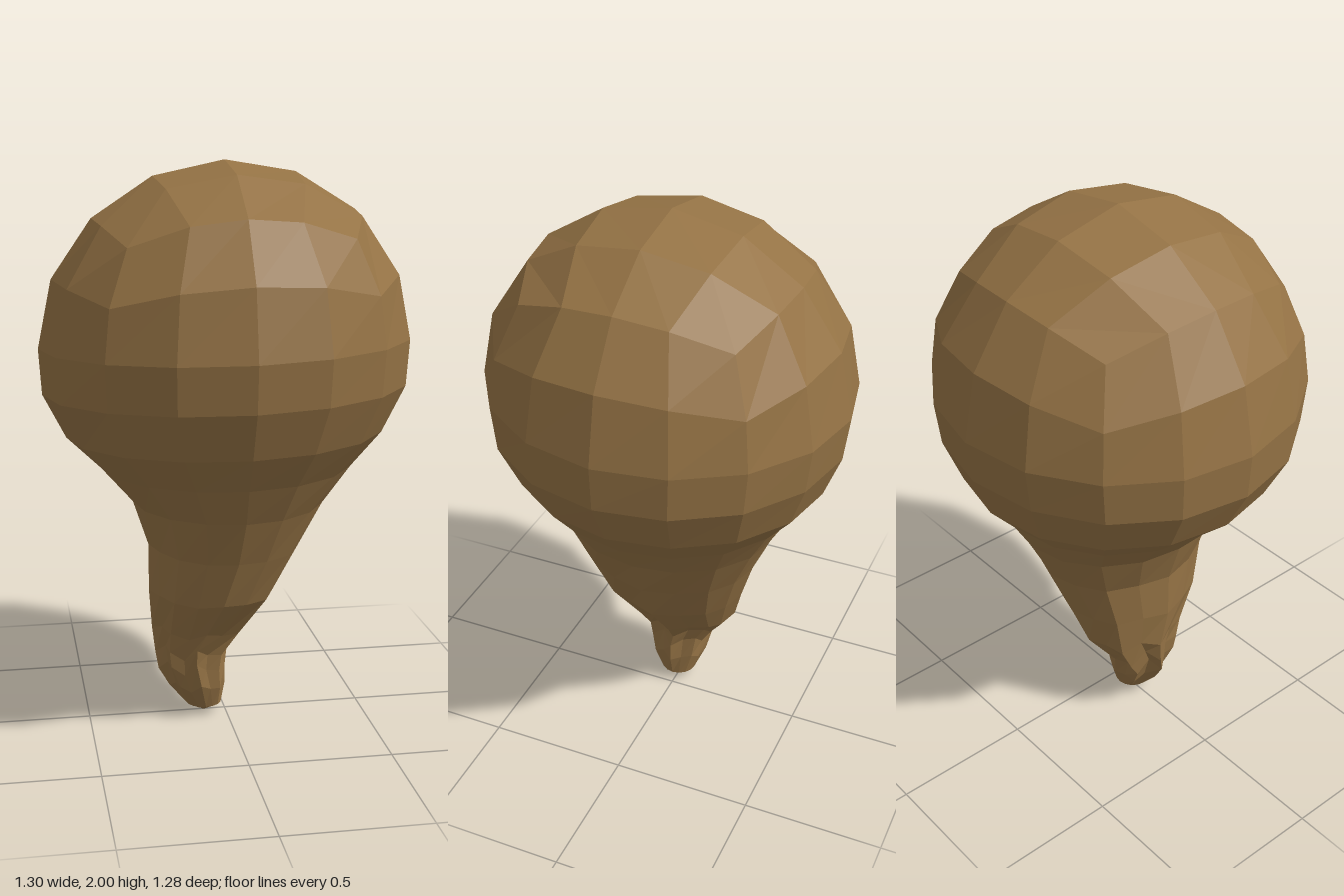
import * as THREE from 'three';

// Cross-sections below the widest line: y, xMin, xMax, zMin, zMax, pleat depth
const SECTIONS = [
  [1.22, -0.64, 0.64, -0.62, 0.62, 0],
  [1.06, -0.56, 0.56, -0.56, 0.55, 0],
  [0.94, -0.44, 0.45, -0.46, 0.46, 0],
  [0.81, -0.33, 0.35, -0.385, 0.385, 0],
  [0.65, -0.277, 0.27, -0.315, 0.32, 0.01],
  [0.48, -0.277, 0.185, -0.26, 0.265, 0.02],
  [0.34, -0.265, 0.08, -0.22, 0.18, 0.05],
  [0.26, -0.255, 0.01, -0.165, 0.15, 0.09],
  [0.20, -0.245, 0.0, -0.12, 0.135, 0.09],
  [0.12, -0.205, 0.0, -0.1, 0.115, 0.05],
  [0.035, -0.145, -0.015, -0.06, 0.07, 0],
];
const TOP_ROWS = 2;
const ROWS = TOP_ROWS + SECTIONS.length;
const CENTRE_Y = 1.38;

// Four-by-four grid box wrapped into a rounded bulb with a tapering neck
function bulbGeometry() {
  const geo = new THREE.BoxGeometry(2, 2, 2, 4, ROWS, 4);
  const pos = geo.attributes.position;
  const p = new THREE.Vector3();
  const spread = (v) => Math.tan(v * Math.PI / 4);

  for (let i = 0; i < pos.count; i++) {
    p.fromBufferAttribute(pos, i);
    const row = Math.round((1 - p.y) / 2 * ROWS);
    const u = spread(p.x), w = spread(p.z);

    if (row <= TOP_ROWS) {
      // Rounded crown
      p.set(u, spread(1 - row / TOP_ROWS), w).normalize();
      p.set(p.x * 0.65, CENTRE_Y + p.y * 0.62, p.z * 0.64);
    } else {
      // Neck and tip, with alternate columns pinched into pleats
      const [y, x0, x1, z0, z1, pleat] = SECTIONS[row - TOP_ROWS - 1];
      const inset = Math.max(Math.abs(p.x), Math.abs(p.z));
      const angle = Math.atan2(w, u);
      const column = Math.round(angle / (Math.PI / 8)) + 16;
      const r = inset * (1 - pleat * (column % 2 ? 2 : 0));
      const drop = row === ROWS ? 0.035 * (1 - inset) : 0;
      p.set(
        (x0 + x1) / 2 + Math.cos(angle) * r * (x1 - x0) / 2,
        y - drop + pleat * 0.3 * Math.sin(column * 2.3),
        (z0 + z1) / 2 + Math.sin(angle) * r * (z1 - z0) / 2
      );
    }
    // Slight lean of the rings around the bulb
    const lean = THREE.MathUtils.smoothstep(p.y, 0.6, 1.2);
    p.y = Math.min(2, p.y + lean * 0.025 * (p.x + p.z));
    pos.setXYZ(i, p.x, p.y, p.z);
  }

  // Separate the facets so each has its own flat normal
  const faceted = geo.toNonIndexed();
  faceted.clearGroups();
  faceted.computeVertexNormals();
  return faceted;
}

export function createModel() {
  const group = new THREE.Group();
  group.name = 'bulbousSack';

  const brown = new THREE.MeshStandardMaterial({ color: 0x957345 });
  brown.name = 'brown';

  const body = new THREE.Mesh(bulbGeometry(), brown);
  body.name = 'bulbAndNeck';
  group.add(body);
  return group;
}
